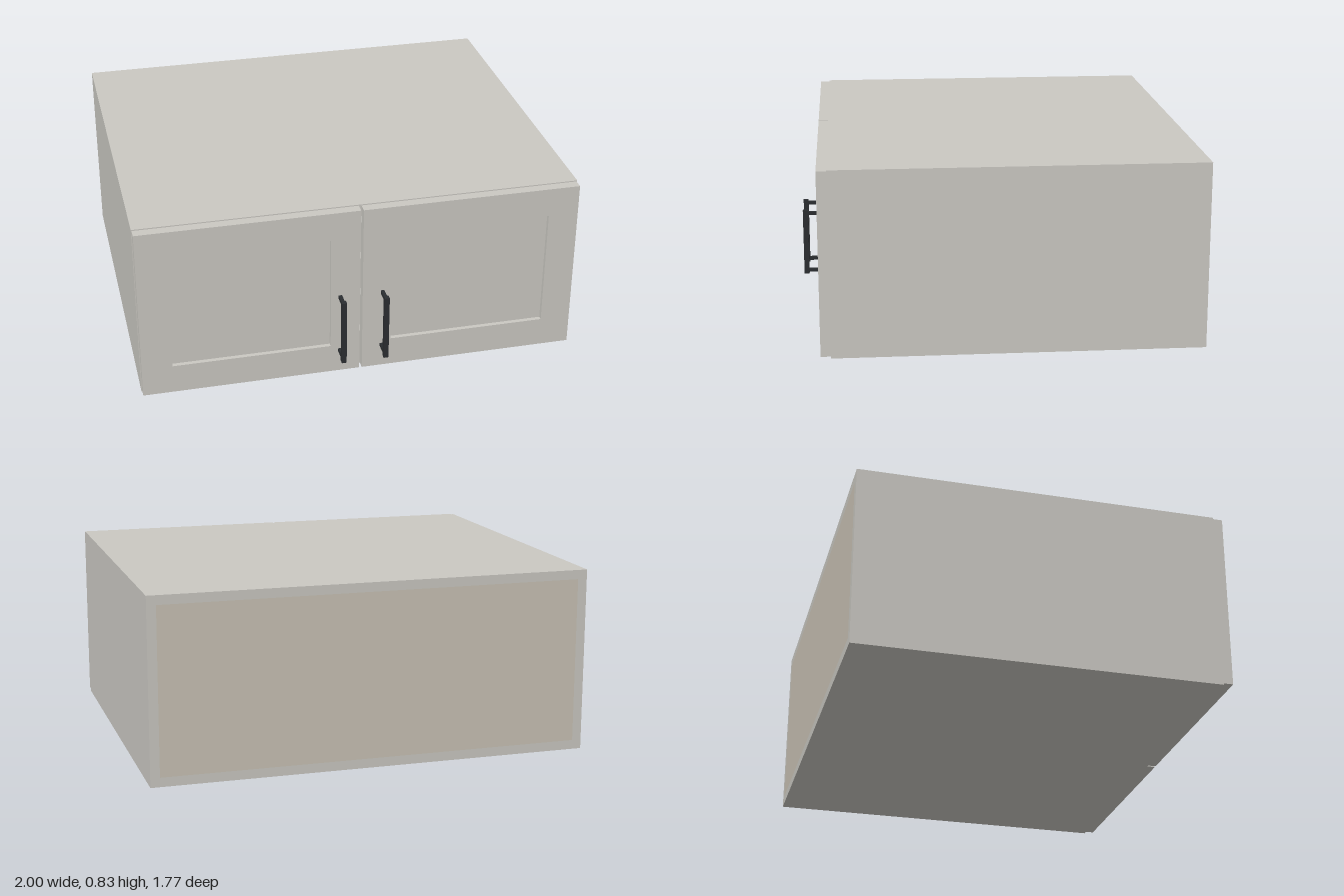
import * as THREE from 'three';

const paint = new THREE.MeshStandardMaterial({ color: 0xcac8c2 });
const backing = new THREE.MeshStandardMaterial({ color: 0xc9c2b5 });
const metal = new THREE.MeshStandardMaterial({ color: 0x2b2e31 });

// Box given by its lower and upper limits on each axis
function slab(parent, name, [x0, x1], [y0, y1], [z0, z1], material = paint) {
  const mesh = new THREE.Mesh(new THREE.BoxGeometry(x1 - x0, y1 - y0, z1 - z0), material);
  mesh.position.set((x0 + x1) / 2, (y0 + y1) / 2, (z0 + z1) / 2);
  mesh.name = name;
  parent.add(mesh);
}

// Limits mirrored to either side
const across = (side, a, b) => (side > 0 ? [a, b] : [-b, -a]);

const H = 0.835, T = 0.042, BACK = -0.885, FACE = 0.755;

function createCarcass() {
  const carcass = new THREE.Group();
  carcass.name = 'carcass';
  const inner = [-1 + T, 1 - T];
  slab(carcass, 'leftSide', [1 - T, 1], [0, H], [BACK, FACE]);
  slab(carcass, 'rightSide', [-1, -1 + T], [0, H], [BACK, FACE]);
  slab(carcass, 'topPanel', inner, [H - T, H], [BACK, FACE]);
  slab(carcass, 'bottomPanel', inner, [0, T], [BACK, FACE]);
  slab(carcass, 'backPanel', inner, [T, H - T], [BACK, BACK + 0.02], backing);
  return carcass;
}

// Framed door: full-height stiles, rails between them, recessed panel
function createDoor(side) {
  const door = new THREE.Group();
  door.name = side > 0 ? 'leftDoor' : 'rightDoor';
  const y = [0.008, 0.83], z = [FACE, 0.8];
  const opening = across(side, 0.14, 0.86);
  slab(door, 'innerStile', across(side, 0.006, 0.14), y, z);
  slab(door, 'outerStile', across(side, 0.86, 0.997), y, z);
  slab(door, 'bottomRail', opening, [y[0], 0.145], z);
  slab(door, 'topRail', opening, [0.695, y[1]], z);
  slab(door, 'doorPanel', opening, [0.145, 0.695], [0.762, 0.78]);
  return door;
}

// Upright bar handle on two posts
function createHandle(side) {
  const handle = new THREE.Group();
  handle.name = side > 0 ? 'leftHandle' : 'rightHandle';
  slab(handle, 'bar', across(side, 0.086, 0.108), [0.103, 0.418], [0.861, 0.885], metal);
  for (const y of [0.119, 0.402]) {
    slab(handle, 'post', across(side, 0.089, 0.105), [y - 0.008, y + 0.008], [0.8, 0.861], metal);
  }
  return handle;
}

export function createModel() {
  const cabinet = new THREE.Group();
  cabinet.name = 'wallCabinet';
  cabinet.add(createCarcass());
  for (const side of [1, -1]) cabinet.add(createDoor(side), createHandle(side));
  return cabinet;
}
